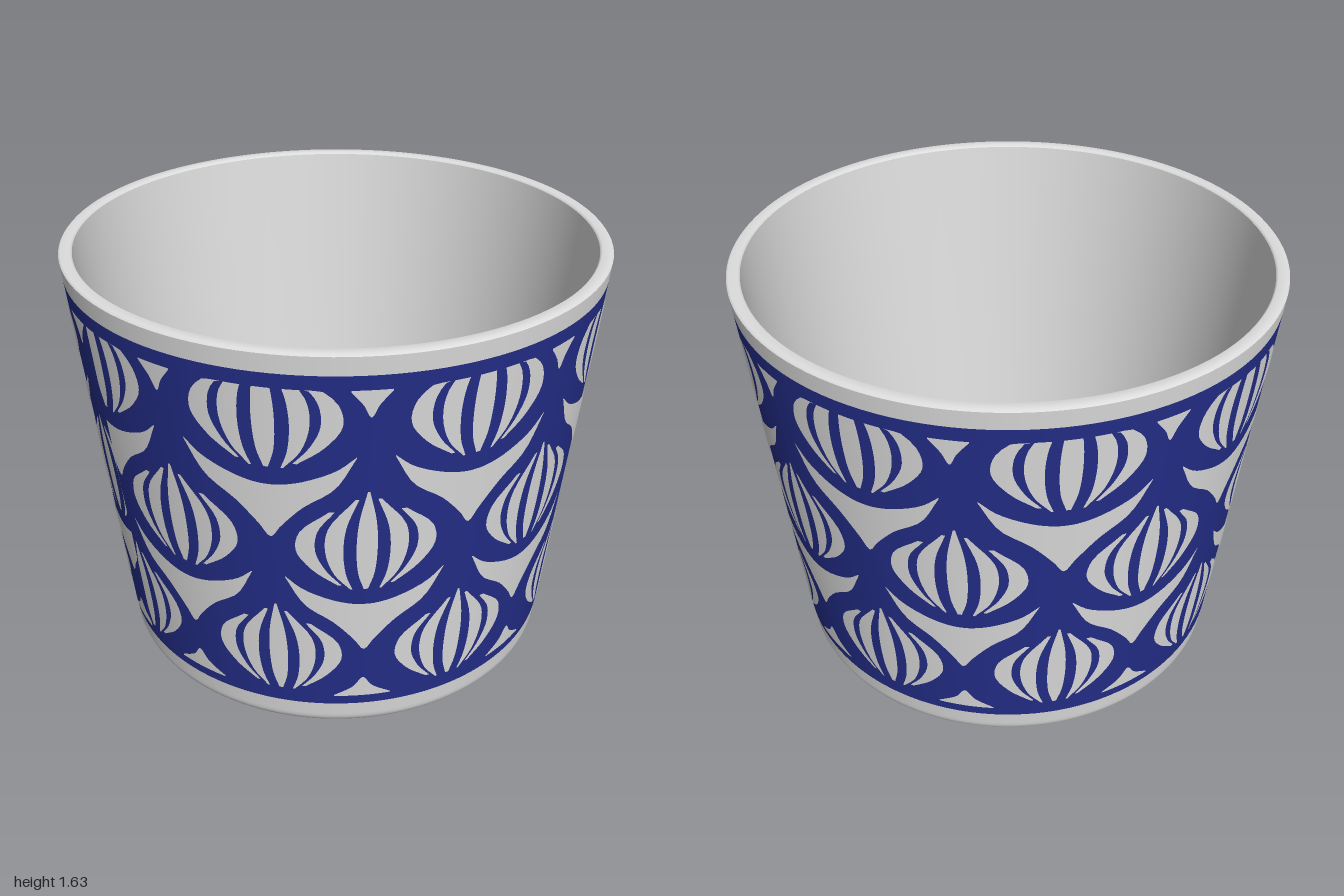
import * as THREE from 'three';
import { mergeGeometries } from 'three/addons/utils/BufferGeometryUtils.js';

const HEIGHT = 1.63, BAND_LOW = 0.12, BAND_HIGH = 1.555, PETAL_TOP = 1.505;
const rad = THREE.MathUtils.degToRad;
const outerRadius = (y) => 0.845 + 0.155 * (y / HEIGHT);

// The printed wrap starts and ends at a seam; the repeat does not divide evenly
const SEAM = rad(-62), PITCH = rad(41.7), REPEATS = 9;

// Petal cross-sections: [height, left angle, right angle] around the bulb centre
const CENTRE_PETAL = [[-0.17, -0.008, 0.008], [-0.1, -0.03, 0.03], [0.02, -0.038, 0.038], [0.13, -0.03, 0.03], [0.25, -0.004, 0.004]];
const INNER_PETAL = [[-0.17, 0.05, 0.058], [-0.1, 0.075, 0.118], [0, 0.085, 0.15], [0.1, 0.075, 0.138], [0.22, 0.032, 0.045]];
const OUTER_PETAL = [[-0.15, 0.09, 0.105], [-0.08, 0.15, 0.2], [0, 0.185, 0.255], [0.08, 0.178, 0.24], [0.17, 0.115, 0.135]];
const mirrorPetal = (rows) => rows.map(([y, a, b]) => [y, -b, -a]);
const PETALS = [CENTRE_PETAL, INNER_PETAL, OUTER_PETAL, mirrorPetal(INNER_PETAL), mirrorPetal(OUTER_PETAL)];

// Gaps between bulbs: [angle, lower height, upper height], right half only
const mirrorGap = (half) => [...half.slice(1).reverse().map(([u, a, b]) => [-u, a, b]), ...half];
const LEAF = mirrorGap([[0, -0.46, -0.24], [0.04, -0.41, -0.238], [0.12, -0.325, -0.22], [0.23, -0.245, -0.175], [0.3, -0.125, -0.12]]);
const FOOT_GAP = mirrorGap([[0, 0.165, 0.26], [0.04, 0.165, 0.215], [0.12, 0.165, 0.17]]);
const TOP_GAP = mirrorGap([[0, 1.405, PETAL_TOP], [0.025, 1.45, PETAL_TOP], [0.065, 1.5, PETAL_TOP]]);

// Thin patch wrapped on the cup wall, lofted between two edges
function patch(rows, angle, height, alongAngle) {
  const curve = new THREE.CatmullRomCurve3(rows.map((r) => new THREE.Vector3(...r)));
  const n = alongAngle ? 28 : 16, m = alongAngle ? 2 : 3;
  const pos = [], nor = [], index = [];
  const slope = 0.155 / HEIGHT, len = Math.hypot(1, slope);
  for (let i = 0; i <= n; i++) {
    const p = curve.getPoint(i / n);
    for (let j = 0; j <= m; j++) {
      const across = THREE.MathUtils.lerp(p.y, p.z, j / m);
      const u = THREE.MathUtils.clamp(angle + (alongAngle ? p.x : across), SEAM, SEAM + Math.PI * 2);
      const y = Math.min(height + (alongAngle ? across : p.x), PETAL_TOP);
      const r = outerRadius(y) + 0.004;
      pos.push(Math.sin(u) * r, y, Math.cos(u) * r);
      nor.push(Math.sin(u) / len, -slope / len, Math.cos(u) / len);
      if (i < n && j < m) {
        const a = i * (m + 1) + j, b = a + 1, c = a + m + 1, d = c + 1;
        if (alongAngle) index.push(a, c, d, a, d, b);
        else index.push(a, b, d, a, d, c);
      }
    }
  }
  const g = new THREE.BufferGeometry();
  g.setAttribute('position', new THREE.Float32BufferAttribute(pos, 3));
  g.setAttribute('normal', new THREE.Float32BufferAttribute(nor, 3));
  g.setIndex(index);
  return g;
}

export function createModel() {
  const white = new THREE.MeshStandardMaterial({ color: 0xdedede });
  white.name = 'white glaze';
  const blue = new THREE.MeshStandardMaterial({ color: 0x242e8a });
  blue.name = 'cobalt blue';

  const group = new THREE.Group();
  group.name = 'cup';
  const add = (name, geometry, material) => {
    const mesh = new THREE.Mesh(geometry, material);
    mesh.name = name;
    group.add(mesh);
  };
  const lathe = (name, points, material) =>
    add(name, new THREE.LatheGeometry(points.map(([r, y]) => new THREE.Vector2(r, y)), 128), material);

  // Quarter-round between wall and floor
  const fillet = (r, y, size, n = 8) => Array.from({ length: n + 1 }, (_, i) => {
    const a = (i / n) * Math.PI / 2;
    return [r - size + Math.sin(a) * size, y + size - Math.cos(a) * size];
  });

  // Cup body
  lathe('base', [[0, 0], [0.785, 0]], white);
  lathe('foot', [...fillet(0.85, 0, 0.065), [outerRadius(BAND_LOW), BAND_LOW]], white);
  lathe('patternBand', [[outerRadius(BAND_LOW), BAND_LOW], [outerRadius(BAND_HIGH), BAND_HIGH]], blue);
  lathe('rimBand', [[outerRadius(BAND_HIGH), BAND_HIGH], [0.999, HEIGHT - 0.008]], white);
  lathe('lip', [[0.999, HEIGHT - 0.008], [0.992, HEIGHT], [0.958, HEIGHT], [0.951, HEIGHT - 0.008]], white);
  lathe('inside', [[0.951, HEIGHT - 0.008], [0.8, 0.27], ...fillet(0.79, 0.09, 0.15).reverse(), [0, 0.09]], white);

  // Three staggered rows of bulbs
  const rows = [
    { name: 'upper', y: 1.375, start: rad(-60.2), leaf: true },
    { name: 'middle', y: 0.865, start: rad(-40.5), leaf: true },
    { name: 'lower', y: 0.36, start: rad(-60.2), leaf: false },
  ];
  for (const row of rows) {
    const petals = [], leaves = [];
    for (let k = 0; k < REPEATS; k++) {
      const angle = row.start + k * PITCH;
      for (const p of PETALS) petals.push(patch(p, angle, row.y, false));
      if (row.leaf) leaves.push(patch(LEAF, angle, row.y, true));
    }
    add(row.name + 'Petals', mergeGeometries(petals), white);
    if (row.leaf) add(row.name + 'Leaves', mergeGeometries(leaves), white);
  }

  // Small triangles between bulbs along both borders
  const gaps = [];
  for (let k = 0; k < REPEATS; k++) {
    const angle = rows[1].start + k * PITCH;
    gaps.push(patch(FOOT_GAP, angle, 0, true), patch(TOP_GAP, angle, 0, true));
  }
  add('borderTriangles', mergeGeometries(gaps), white);

  return group;
}
